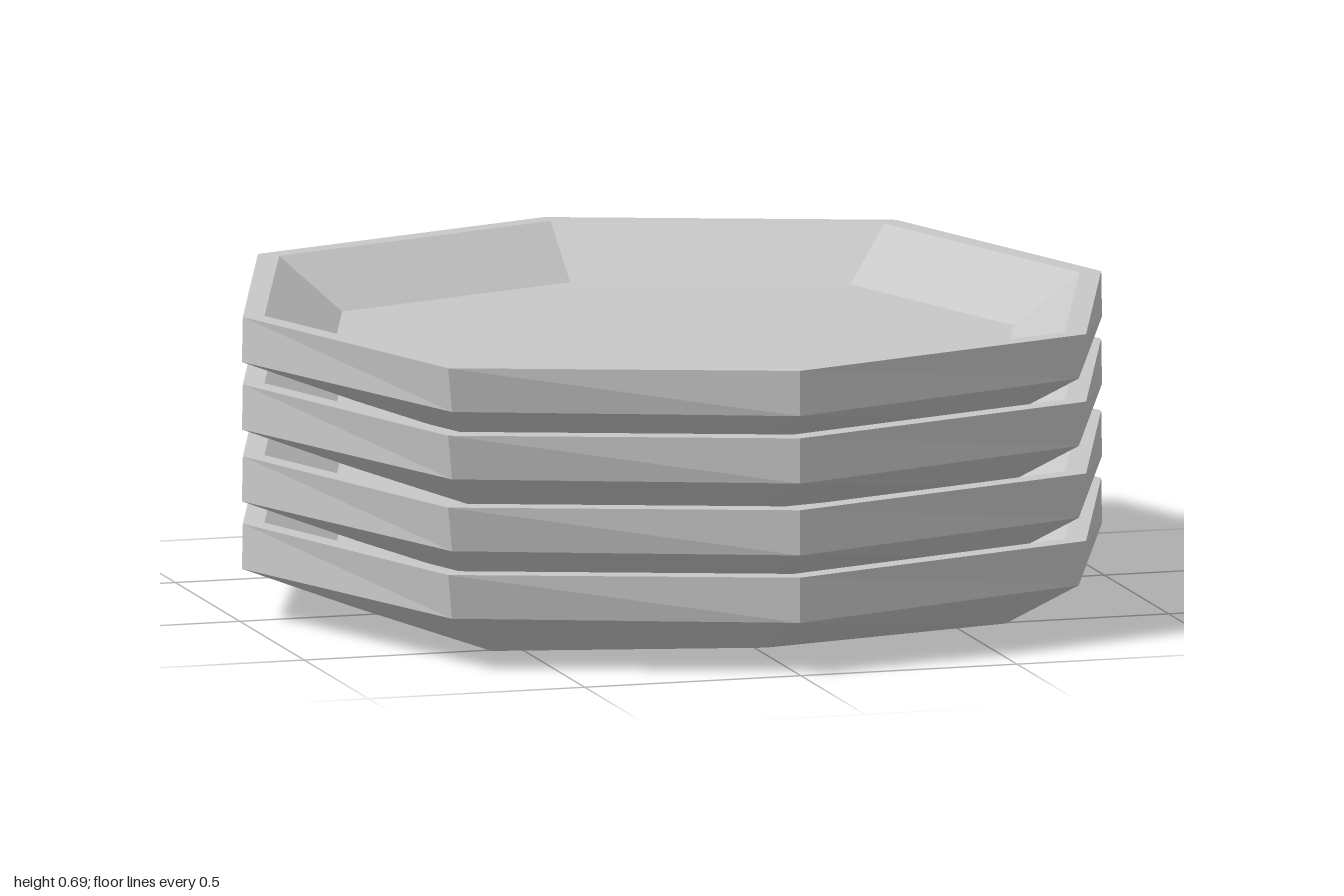
import * as THREE from 'three';

// Rings of one plate, from the underside centre round the rim to the dish centre:
// [radius on the x/z axes, x and z of the diagonal corners, height]
const RINGS = [
  [0, 0, 0.004],
  [0.73, 0.595, 0.02],    // foot
  [0.995, 0.725, 0.122],  // lower rim edge
  [0.993, 0.738, 0.2235], // upper rim edge
  [0.943, 0.70, 0.2235],  // inner rim edge
  [0.79, 0.588, 0.112],   // dish floor
  [0, 0, 0.112],
];
const OFFSETS = [0, 0.152, 0.314, 0.466];

function ringPoint([axis, diagonal, y], i) {
  const a = (i % 8) * Math.PI / 4;
  const r = i % 2 ? diagonal * Math.SQRT2 : axis;
  return [r * Math.cos(a), y, r * Math.sin(a)];
}

// Eight-sided plate skinned ring by ring
function plateGeometry() {
  const positions = [];
  for (let k = 0; k < RINGS.length - 1; k++) {
    const low = RINGS[k], high = RINGS[k + 1];
    for (let i = 0; i < 8; i++) {
      const a = ringPoint(low, i), b = ringPoint(low, i + 1);
      const c = ringPoint(high, i), d = ringPoint(high, i + 1);
      if (high[0] > 0) positions.push(...a, ...c, ...d);
      if (low[0] > 0) positions.push(...a, ...d, ...b);
    }
  }
  const geometry = new THREE.BufferGeometry();
  geometry.setAttribute('position', new THREE.Float32BufferAttribute(positions, 3));
  geometry.computeVertexNormals(); // unshared corners keep every facet flat
  return geometry;
}

export function createModel() {
  const group = new THREE.Group();
  group.name = 'plateStack';
  const ceramic = new THREE.MeshStandardMaterial({ color: 0xc8c8c8 });
  ceramic.name = 'light grey ceramic';
  const geometry = plateGeometry();
  OFFSETS.forEach((y, i) => {
    const plate = new THREE.Mesh(geometry, ceramic);
    plate.name = `plate${i + 1}`;
    plate.position.y = y;
    group.add(plate);
  });
  return group;
}
